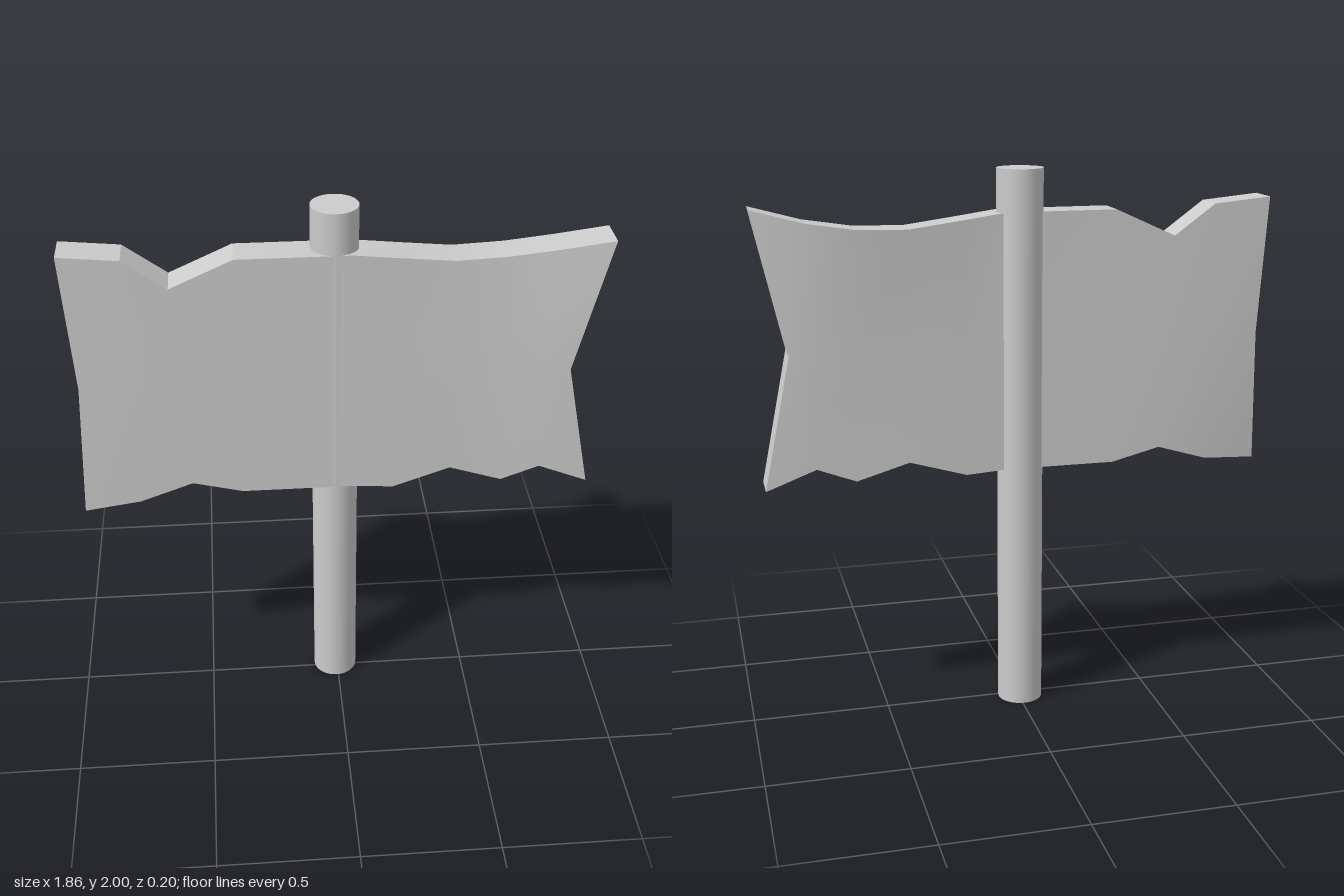
import * as THREE from 'three';
import { toCreasedNormals } from 'three/addons/utils/BufferGeometryUtils.js';

const HALF = 0.063; // half the board thickness

// Columns from one end to the other:
// [top x, y, z], [middle x, y, z], [bottom x, y, z], z at the centre of the thickness
const COLUMNS = [
  [[-0.93, 1.88, 0], [-0.9, 1.38, 0.005], [-0.92, 0.89, 0.035]],
  [[-0.72, 1.86, 0], [-0.72, 1.38, 0.002], [-0.72, 0.905, 0.014]],
  [[-0.57, 1.75, 0], [-0.55, 1.38, 0], [-0.53, 0.965, 0]],
  [[-0.35, 1.85, 0], [-0.35, 1.38, 0], [-0.35, 0.92, 0]],
  [[0.05, 1.85, 0], [0.05, 1.38, 0], [0.05, 0.92, 0]],
  [[0.2, 1.83, -0.01], [0.2, 1.38, -0.002], [0.2, 0.91, 0]],
  [[0.4, 1.805, -0.024], [0.4, 1.38, -0.007], [0.41, 0.975, -0.012]],
  [[0.58, 1.81, -0.031], [0.58, 1.38, -0.008], [0.6, 0.917, -0.005]],
  [[0.75, 1.835, -0.018], [0.72, 1.38, -0.004], [0.74, 0.97, -0.003]],
  [[0.93, 1.88, 0.024], [0.82, 1.38, 0.004], [0.92, 0.9, 0.002]],
];

// Loft a six-point section through the columns and close both ends
function boardGeometry() {
  const pos = [], index = [];
  const quad = (a, b, c, d) => index.push(a, b, c, a, c, d);
  for (const [top, mid, low] of COLUMNS) {
    for (const [x, y, z] of [low, mid, top]) pos.push(x, y, z + HALF);
    for (const [x, y, z] of [top, mid, low]) pos.push(x, y, z - HALF);
  }
  const last = COLUMNS.length - 1;
  for (let i = 0; i < last; i++) {
    for (let k = 0; k < 6; k++) {
      const n = (k + 1) % 6;
      quad(i * 6 + k, i * 6 + 6 + k, i * 6 + 6 + n, i * 6 + n);
    }
  }
  const e = last * 6;
  quad(0, 1, 4, 5);
  quad(1, 2, 3, 4);
  quad(e + 5, e + 4, e + 1, e);
  quad(e + 4, e + 3, e + 2, e + 1);
  const geometry = new THREE.BufferGeometry();
  geometry.setAttribute('position', new THREE.Float32BufferAttribute(pos, 3));
  geometry.setIndex(index);
  return toCreasedNormals(geometry, 0.35);
}

export function createModel() {
  const grey = new THREE.MeshStandardMaterial({ color: 0xcccccc });
  grey.name = 'light grey';
  const model = new THREE.Group();
  model.name = 'signpost';

  // Round post
  const post = new THREE.Mesh(new THREE.CylinderGeometry(0.083, 0.083, 2, 32), grey);
  post.name = 'post';
  post.position.set(-0.008, 1, -0.019);

  // Ragged, slightly warped board
  const board = new THREE.Mesh(boardGeometry(), grey);
  board.name = 'board';

  model.add(post, board);
  return model;
}
